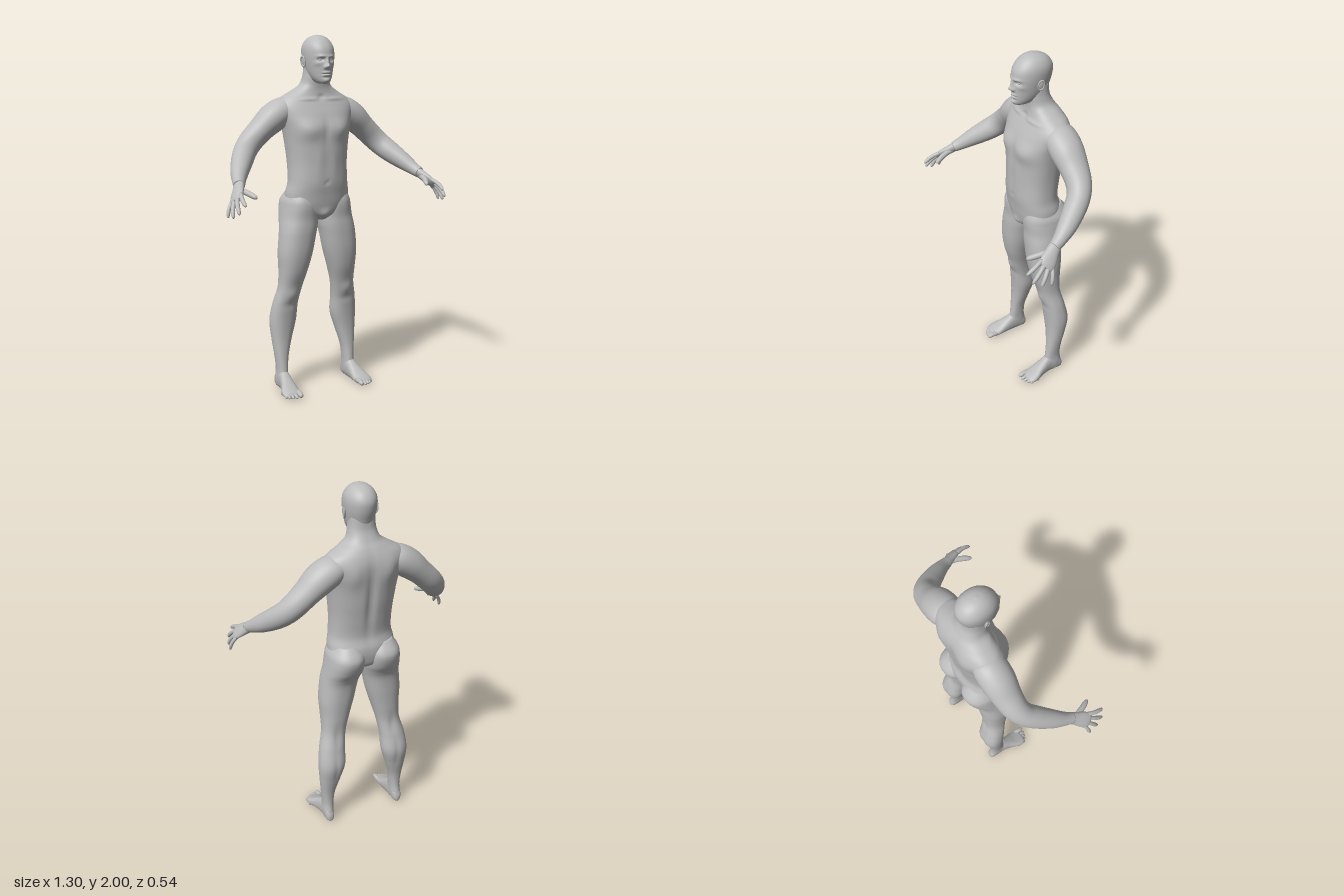
import * as THREE from 'three';

// Uniform Catmull-Rom interpolation of every column of a table of sections
function sample(rows, t) {
  const f = t * (rows.length - 1), i = Math.min(Math.floor(f), rows.length - 2), u = f - i;
  const r = k => rows[Math.max(0, Math.min(rows.length - 1, k))];
  return rows[i].map((b, c) => {
    const a = r(i - 1)[c], d = r(i + 1)[c], e = r(i + 2)[c];
    return b + 0.5 * u * (d - a + u * (2 * a - 5 * b + 4 * d - e + u * (3 * (b - d) + e - a)));
  });
}

// Closed skin over rings of points, with fan caps
function skin(nT, nA, ringPoint) {
  const pos = [], idx = [];
  for (let j = 0; j <= nT; j++)
    for (let i = 0; i < nA; i++) pos.push(...ringPoint(j / nT, (i / nA) * Math.PI * 2));
  for (const j of [0, nT]) {
    const c = [0, 0, 0];
    for (let i = 0; i < nA; i++) for (let k = 0; k < 3; k++) c[k] += pos[(j * nA + i) * 3 + k] / nA;
    pos.push(...c);
  }
  const first = (nT + 1) * nA, last = first + 1;
  for (let i = 0; i < nA; i++) {
    const n = (i + 1) % nA;
    for (let j = 0; j < nT; j++) {
      const a = j * nA + i, b = j * nA + n, c = a + nA, d = b + nA;
      idx.push(a, c, b, b, c, d);
    }
    idx.push(first, i, n, last, nT * nA + n, nT * nA + i);
  }
  const g = new THREE.BufferGeometry();
  g.setAttribute('position', new THREE.Float32BufferAttribute(pos, 3));
  g.setIndex(idx);
  g.computeVertexNormals();
  return g;
}

// Sections [t, a0, a1, b0, b1] as rounded ovals; place() maps (t, a, b) to a point
function loft(rows, nT, nA, place, power = 2.3) {
  const p = v => Math.sign(v) * Math.pow(Math.abs(v), 2 / power);
  return skin(nT, nA, (t, th) => {
    const [s, a0, a1, b0, b1] = sample(rows, t);
    return place(s, (a0 + a1) / 2 + p(Math.cos(th)) * (a1 - a0) / 2, (b0 + b1) / 2 + p(Math.sin(th)) * (b1 - b0) / 2);
  });
}
const upright = (y, x, z) => [x, y, z];
const lengthwise = (z, x, y) => [x, y, z];

// Limb through sections [x, y, z, radiusU, radiusV]
function limb(rows, nT, nA, ref) {
  const at = t => new THREE.Vector3(...sample(rows, t).slice(0, 3));
  return skin(nT, nA, (t, th) => {
    const s = sample(rows, t), e = 0.01;
    const T = at(Math.min(1, t + e)).sub(at(Math.max(0, t - e))).normalize();
    const U = ref.clone().cross(T).normalize(), V = U.clone().cross(T);
    return at(t).addScaledVector(U, s[3] * Math.cos(th)).addScaledVector(V, s[4] * Math.sin(th)).toArray();
  });
}

// Soft bumps [x, y, z, sizeX, sizeY, sizeZ, push along z], the same on both sides
function sculpt(g, bumps) {
  const p = g.attributes.position;
  for (let i = 0; i < p.count; i++) {
    const x = Math.abs(p.getX(i)), y = p.getY(i), z = p.getZ(i);
    let dz = 0;
    for (const [bx, by, bz, sx, sy, sz, amt] of bumps)
      dz += amt * Math.exp(-(((x - bx) / sx) ** 2) - ((y - by) / sy) ** 2 - ((z - bz) / sz) ** 2);
    p.setZ(i, z + dz);
  }
  g.computeVertexNormals();
  return g;
}

function mirrored(g) {
  const m = g.clone().scale(-1, 1, 1), a = m.index.array;
  for (let i = 0; i < a.length; i += 3) [a[i], a[i + 1]] = [a[i + 1], a[i]];
  m.computeVertexNormals();
  return m;
}

export function createModel() {
  const model = new THREE.Group();
  model.name = 'figure';
  const skinGrey = new THREE.MeshStandardMaterial({ color: 0xbcbcbc });
  skinGrey.name = 'skinGrey';
  const add = (name, g) => {
    const m = new THREE.Mesh(g, skinGrey);
    m.name = name;
    model.add(m);
  };
  const addPair = (name, g) => {
    add('left' + name, g);
    add('right' + name, mirrored(g));
  };
  const sym = rows => rows.map(([y, w, zf, zb]) => [y, -w, w, zb, zf]);

  // Torso and neck: [height, half width, front, back]
  add('torso', sculpt(loft(sym([
    [0.985, 0.04, -0.05, -0.16], [1.02, 0.12, -0.015, -0.22], [1.07, 0.178, -0.002, -0.238],
    [1.13, 0.186, 0.006, -0.24], [1.2, 0.174, 0.014, -0.224], [1.3, 0.173, 0.012, -0.235],
    [1.4, 0.182, 0.012, -0.25], [1.5, 0.198, 0.008, -0.26], [1.57, 0.22, -0.014, -0.264],
    [1.62, 0.23, -0.038, -0.262], [1.66, 0.2, -0.058, -0.252], [1.695, 0.14, -0.066, -0.235],
    [1.73, 0.09, -0.066, -0.212], [1.78, 0.073, -0.06, -0.19], [1.84, 0.068, -0.06, -0.185],
  ]), 110, 96, upright), [
    [0.09, 1.49, -0.02, 0.065, 0.05, 0.08, 0.016],     // chest
    [0, 1.48, 0, 0.014, 0.07, 0.06, -0.005],           // breastbone
    [0.045, 1.31, 0, 0.03, 0.1, 0.05, 0.004],          // stomach
    [0, 1.2, 0.015, 0.008, 0.01, 0.03, -0.006],        // navel
    [0, 1.015, -0.01, 0.03, 0.03, 0.05, 0.012],        // groin
    [0.08, 1.655, -0.06, 0.06, 0.009, 0.05, 0.006],    // collarbone
    [0, 1.665, -0.06, 0.015, 0.015, 0.04, -0.008],     // throat hollow
    [0, 1.42, -0.25, 0.022, 0.2, 0.07, 0.014],         // spine
    [0.1, 1.57, -0.25, 0.05, 0.07, 0.08, -0.012],      // shoulder blades
  ]));

  // Head, with the face pushed out of a smooth skull
  add('head', sculpt(loft(sym([
    [1.738, 0.018, -0.005, -0.07], [1.746, 0.036, 0.004, -0.1], [1.768, 0.053, 0.009, -0.14],
    [1.8, 0.066, 0.01, -0.178], [1.84, 0.075, 0.011, -0.195], [1.88, 0.081, 0.012, -0.207],
    [1.92, 0.082, 0.006, -0.211], [1.95, 0.075, -0.01, -0.201], [1.976, 0.058, -0.035, -0.178],
    [1.993, 0.033, -0.065, -0.143], [2, 0.003, -0.098, -0.104],
  ]), 130, 128, upright, 2.1), [
    [0, 1.832, 0.01, 0.013, 0.013, 0.05, 0.021],       // nose tip
    [0, 1.855, 0.01, 0.009, 0.022, 0.05, 0.013],       // nose bridge
    [0.013, 1.827, 0.01, 0.007, 0.008, 0.04, 0.007],   // nostrils
    [0.028, 1.884, 0, 0.024, 0.008, 0.05, 0.006],      // brow
    [0.031, 1.867, 0, 0.016, 0.01, 0.05, -0.013],      // eye sockets
    [0.052, 1.845, -0.02, 0.016, 0.014, 0.05, 0.005],  // cheekbones
    [0, 1.798, 0.01, 0.022, 0.006, 0.05, 0.008],       // upper lip
    [0, 1.784, 0.01, 0.018, 0.006, 0.05, 0.008],       // lower lip
    [0, 1.791, 0.01, 0.024, 0.003, 0.05, -0.006],      // mouth line
    [0, 1.772, 0.01, 0.02, 0.005, 0.05, -0.004],       // under lip
    [0, 1.755, 0.01, 0.022, 0.012, 0.05, 0.008],       // chin
  ]));
  addPair('Eye', new THREE.SphereGeometry(0.012, 20, 14).translate(0.031, 1.867, -0.015));

  // Ears: a flat lobe with a raised rim
  const placeEar = g => g.rotateX(-0.15).rotateZ(-0.12).rotateY(-0.25).translate(0.084, 1.857, -0.104);
  addPair('Ear', placeEar(new THREE.SphereGeometry(1, 20, 14).scale(0.007, 0.029, 0.017)));
  addPair('EarRim', placeEar(new THREE.TorusGeometry(0.016, 0.004, 8, 28).rotateY(Math.PI / 2).scale(1, 1.65, 1).translate(0.005, 0, 0)));

  // Legs: [height, inner x, outer x, back, front]
  addPair('Leg', sculpt(loft([
    [0.02, 0.193, 0.244, -0.195, -0.1], [0.06, 0.188, 0.249, -0.194, -0.085], [0.12, 0.186, 0.247, -0.185, -0.092],
    [0.2, 0.176, 0.255, -0.19, -0.1], [0.3, 0.148, 0.266, -0.212, -0.105], [0.4, 0.12, 0.272, -0.23, -0.1],
    [0.5, 0.115, 0.26, -0.211, -0.087], [0.6, 0.1, 0.236, -0.19, -0.063], [0.7, 0.073, 0.234, -0.193, -0.032],
    [0.8, 0.045, 0.238, -0.2, -0.015], [0.9, 0.024, 0.229, -0.207, -0.01], [0.95, 0.012, 0.222, -0.223, -0.01],
    [1, 0.004, 0.213, -0.252, -0.012], [1.06, 0.003, 0.204, -0.272, -0.008], [1.1, 0.008, 0.195, -0.265, -0.012],
    [1.15, 0.03, 0.165, -0.225, -0.03],
  ], 110, 56, upright), [
    [0.175, 0.56, -0.07, 0.035, 0.035, 0.04, 0.008],   // kneecap
    [0.18, 0.5, -0.08, 0.05, 0.02, 0.04, -0.004],      // below the knee
    [0.17, 0.58, -0.2, 0.02, 0.06, 0.04, 0.006],       // back of the knee
    [0.19, 0.38, -0.23, 0.012, 0.1, 0.04, 0.005],      // calf groove
  ]));

  // Feet: [z, inner x, outer x, sole, top]
  addPair('Foot', loft([
    [0.052, 0.2, 0.265, 0.01, 0.022], [0.042, 0.186, 0.278, 0.003, 0.034], [0.02, 0.181, 0.285, 0, 0.045],
    [-0.01, 0.18, 0.28, 0, 0.06], [-0.05, 0.183, 0.264, 0, 0.085], [-0.1, 0.186, 0.251, 0, 0.115],
    [-0.14, 0.188, 0.248, 0, 0.12], [-0.18, 0.193, 0.244, 0.001, 0.09], [-0.195, 0.202, 0.236, 0.008, 0.06],
    [-0.2, 0.212, 0.226, 0.02, 0.04],
  ], 50, 36, lengthwise));

  const digit = (a, b, r, lift, ref) => {
    const rows = [[0, 1], [0.3, 0.95], [0.6, 0.95], [0.82, 0.85], [0.95, 0.58], [1, 0.1]].map(([t, k]) => {
      const arch = lift * Math.sin(Math.PI * t);
      return [0, 1, 2].map(c => a[c] + (b[c] - a[c]) * t + ref.getComponent(c) * arch).concat(r * k, r * k);
    });
    return limb(rows, 24, 16, ref);
  };

  // Toes, from the big toe outward
  const up = new THREE.Vector3(0, 1, 0);
  [[0.197, 0.08, 0.015], [0.222, 0.078, 0.0105], [0.242, 0.071, 0.01], [0.26, 0.061, 0.0095], [0.275, 0.047, 0.009]]
    .forEach(([x, z, r], i) =>
      addPair('Toe' + (i + 1), digit([x - 0.002, r + 0.008, z - 0.06], [x, r, z], r, 0.006, up)));

  // Arms from inside the shoulder to the wrist
  addPair('Arm', limb([
    [0.12, 1.61, -0.165, 0.05, 0.07], [0.18, 1.592, -0.163, 0.076, 0.088], [0.25, 1.55, -0.162, 0.08, 0.09],
    [0.32, 1.49, -0.162, 0.069, 0.078], [0.38, 1.433, -0.155, 0.066, 0.068], [0.425, 1.385, -0.13, 0.064, 0.061],
    [0.465, 1.34, -0.08, 0.06, 0.058], [0.51, 1.29, -0.01, 0.049, 0.049], [0.54, 1.252, 0.05, 0.037, 0.036],
    [0.555, 1.232, 0.09, 0.03, 0.03],
  ], 80, 48, new THREE.Vector3(0, 0, 1)));

  // Hands: palm, four fingers and thumb
  const back = new THREE.Vector3(0.78, 0.62, 0);
  addPair('Palm', limb([
    [0.546, 1.245, 0.068, 0.03, 0.026], [0.566, 1.217, 0.105, 0.036, 0.024], [0.588, 1.192, 0.138, 0.043, 0.02],
    [0.603, 1.173, 0.162, 0.042, 0.016], [0.609, 1.166, 0.172, 0.03, 0.009],
  ], 30, 32, back));
  const fingers = {
    IndexFinger: [[0.582, 1.198, 0.175], [0.595, 1.15, 0.268], 0.012],
    MiddleFinger: [[0.597, 1.182, 0.168], [0.622, 1.108, 0.25], 0.012],
    RingFinger: [[0.607, 1.168, 0.152], [0.638, 1.085, 0.208], 0.0115],
    LittleFinger: [[0.612, 1.158, 0.132], [0.646, 1.08, 0.155], 0.0105],
    Thumb: [[0.556, 1.213, 0.105], [0.515, 1.18, 0.225], 0.016],
  };
  for (const [name, [a, b, r]] of Object.entries(fingers)) addPair(name, digit(a, b, r, 0.008, back));

  return model;
}
